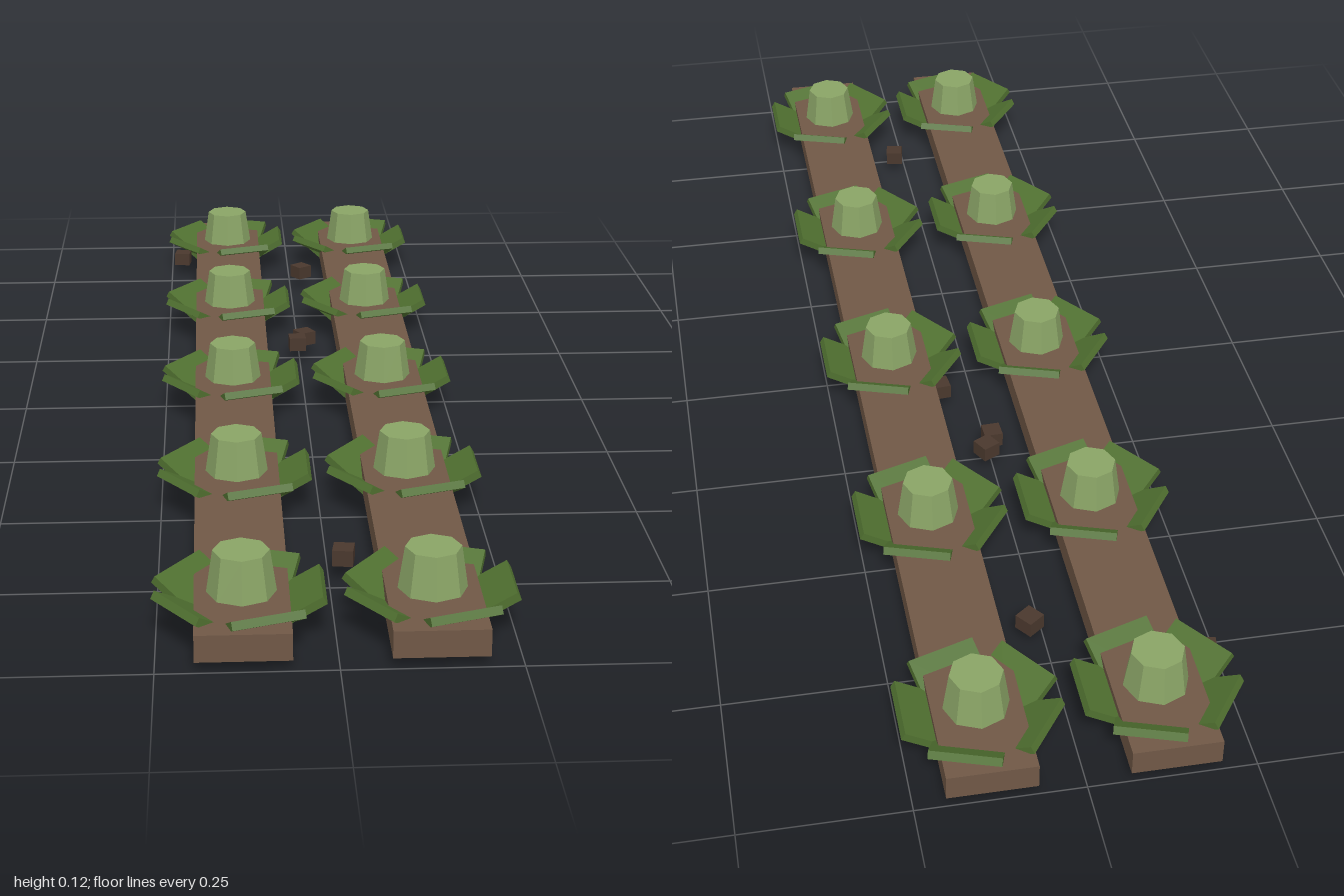
import * as THREE from 'three';

const mat = (name, color) => {
  const m = new THREE.MeshStandardMaterial({ color, flatShading: true });
  m.name = name;
  return m;
};

export function createModel() {
  const soil = mat('soil brown', 0x705846);
  const clodMat = mat('dark soil', 0x4a382d);
  const leafMat = mat('leaf green', 0x507030);
  const headMat = mat('pale green', 0x8aa466);

  const bedGeo = new THREE.BoxGeometry(0.133, 0.04, 2);
  const headGeo = new THREE.CylinderGeometry(0.04, 0.05, 0.067, 8);
  const leafGeo = new THREE.BoxGeometry(0.118, 0.0125, 0.106);
  const clodGeo = new THREE.BoxGeometry(0.031, 0.025, 0.031);

  const add = (parent, name, geo, material, x, y, z) => {
    const mesh = new THREE.Mesh(geo, material);
    mesh.name = name;
    mesh.position.set(x, y, z);
    parent.add(mesh);
    return mesh;
  };

  // One cabbage: tapered head in a ring of five upturned leaves
  const cabbage = () => {
    const g = new THREE.Group();
    g.name = 'cabbage';
    add(g, 'head', headGeo, headMat, 0, 0.0855, 0);
    for (let i = 0; i < 5; i++) {
      const pivot = new THREE.Group();
      pivot.name = 'leafPivot';
      pivot.rotation.y = (i * Math.PI * 2) / 5;
      add(pivot, 'leaf', leafGeo, leafMat, 0.063, 0.035, 0).rotation.z = Math.PI / 6;
      g.add(pivot);
    }
    return g;
  };

  const model = new THREE.Group();
  model.name = 'cabbageRows';

  // Two raised beds, five cabbages each
  for (const x of [-0.13, 0.137]) {
    const row = new THREE.Group();
    row.name = 'row';
    row.position.x = x;
    add(row, 'soilBed', bedGeo, soil, 0, 0.036, 0);
    for (let i = -2; i <= 2; i++) {
      const c = cabbage();
      c.position.z = i * 0.4335;
      row.add(c);
    }
    model.add(row);
  }

  // Loose clods of earth: x, z, turn
  const clods = [
    [-0.226, -0.8, -0.15],
    [0.022, -0.692, 0.65],
    [0.01, -0.267, 0.5],
    [-0.005, -0.235, 0.05],
    [0.06, -0.088, 0.1],
    [0.022, 0.714, -0.15],
  ];
  for (const [x, z, turn] of clods) {
    add(model, 'soilClod', clodGeo, clodMat, x, 0.0365, z).rotation.y = turn;
  }

  return model;
}
